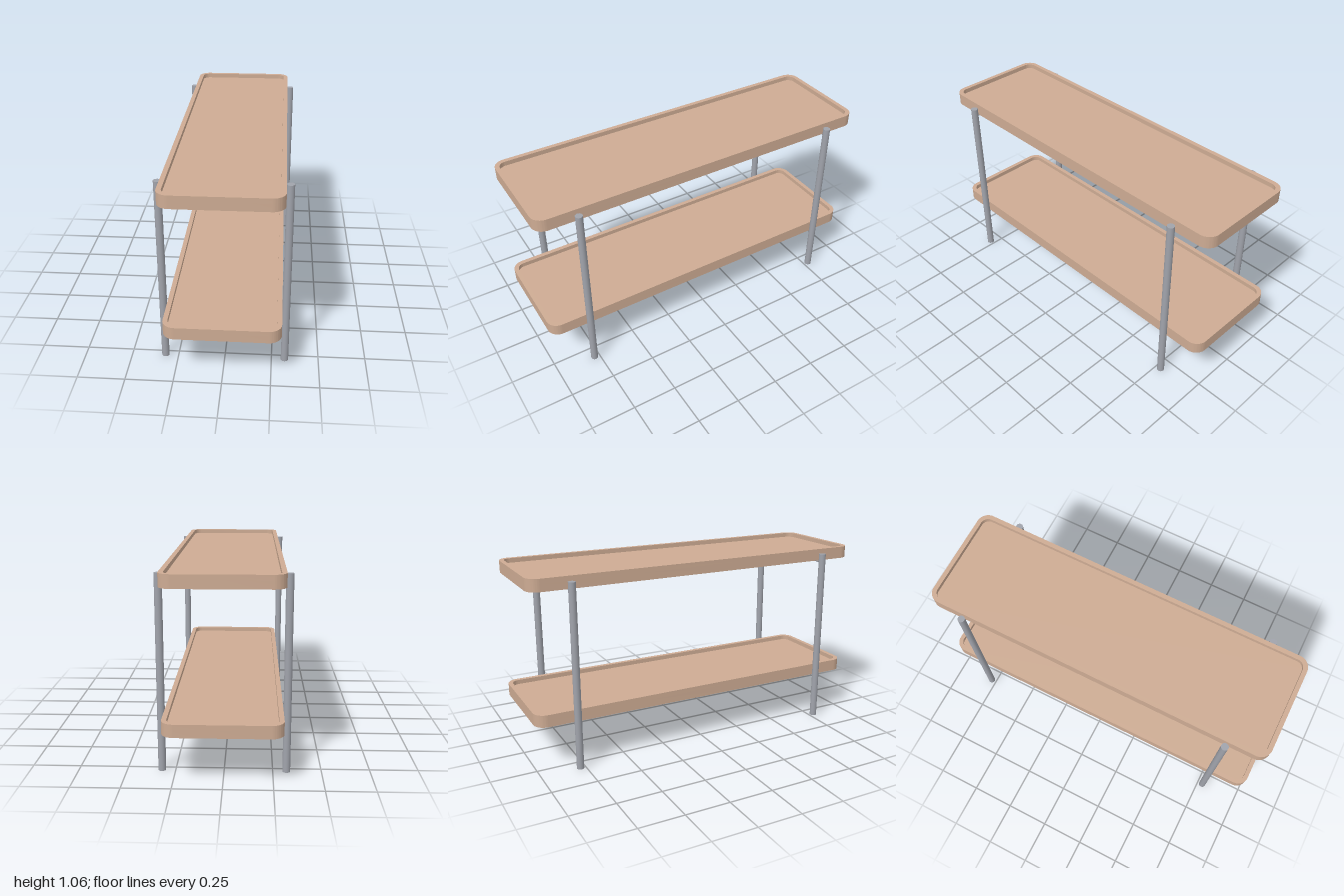
import * as THREE from 'three';
import { toCreasedNormals } from 'three/addons/utils/BufferGeometryUtils.js';

// Rounded rectangle outline centred on the origin
function roundedRect(w, d, r, Type = THREE.Shape) {
  const x = w / 2, y = d / 2, s = new Type();
  s.moveTo(-x + r, -y);
  s.lineTo(x - r, -y);
  s.absarc(x - r, -y + r, r, -Math.PI / 2, 0);
  s.lineTo(x, y - r);
  s.absarc(x - r, y - r, r, 0, Math.PI / 2);
  s.lineTo(-x + r, y);
  s.absarc(-x + r, y - r, r, Math.PI / 2, Math.PI);
  s.lineTo(-x, -y + r);
  s.absarc(-x + r, -y + r, r, Math.PI, Math.PI * 1.5);
  return s;
}

// Flat outline raised upward from y = 0
function slab(shape, height) {
  const g = new THREE.ExtrudeGeometry(shape, { depth: height, bevelEnabled: false, curveSegments: 12 });
  g.rotateX(-Math.PI / 2);
  return toCreasedNormals(g, 0.6);
}

export function createModel() {
  const model = new THREE.Group();
  model.name = 'twoTierShelf';

  const wood = new THREE.MeshStandardMaterial({ color: 0xcdab93 });
  wood.name = 'pale wood';
  const metal = new THREE.MeshStandardMaterial({ color: 0xa0a3ab });
  metal.name = 'grey metal';

  const add = (parent, name, geometry, material, x = 0, y = 0, z = 0) => {
    const mesh = new THREE.Mesh(geometry, material);
    mesh.name = name;
    mesh.position.set(x, y, z);
    parent.add(mesh);
    return mesh;
  };

  const trayHeight = 0.068, floorHeight = 0.043, postZ = 0.78;

  // Tray: solid floor with a raised rim around it
  const floorGeo = slab(roundedRect(0.6, 2, 0.065), floorHeight);
  const rimShape = roundedRect(0.6, 2, 0.065);
  rimShape.holes.push(roundedRect(0.55, 1.95, 0.042, THREE.Path));
  const rimGeo = slab(rimShape, trayHeight - floorHeight);
  const railGeo = new THREE.CylinderGeometry(0.0065, 0.0065, 0.61, 16).rotateZ(Math.PI / 2);

  for (const [name, y] of [['lowerTray', 0.265], ['upperTray', 0.989]]) {
    const tray = new THREE.Group();
    tray.name = name;
    tray.position.y = y;
    add(tray, 'trayFloor', floorGeo, wood);
    add(tray, 'trayRim', rimGeo, wood, 0, floorHeight, 0);
    // Thin rails carrying the tray between the posts
    for (const z of [-postZ, postZ]) add(tray, 'supportRail', railGeo, metal, 0, -0.0065, z);
    model.add(tray);
  }

  // Four round posts outside the long edges
  const postGeo = new THREE.CylinderGeometry(0.02, 0.02, 1.03, 24);
  for (const x of [-0.32, 0.32])
    for (const z of [-postZ, postZ])
      add(model, `${z > 0 ? 'front' : 'back'}${x > 0 ? 'Left' : 'Right'}Post`, postGeo, metal, x, 0.515, z);

  return model;
}
